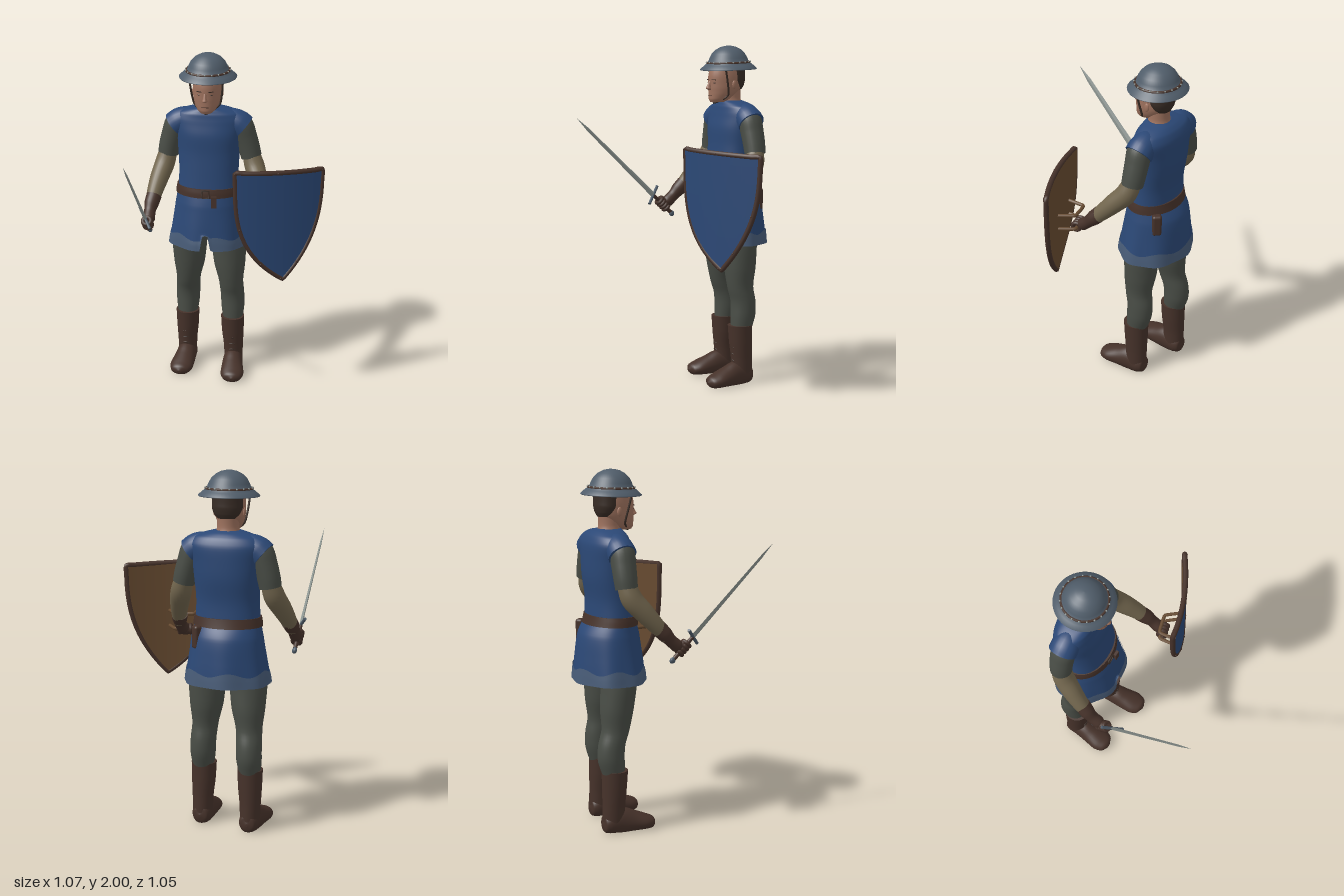
import * as THREE from 'three';
import { RoundedBoxGeometry } from 'three/addons/geometries/RoundedBoxGeometry.js';

const CX = -0.165; // body centre line
const V = (x, y, z) => new THREE.Vector3(x, y, z);

function material(name, color, double) {
  const m = new THREE.MeshStandardMaterial({ color });
  m.name = name;
  if (double) m.side = THREE.DoubleSide;
  return m;
}

// Smooth skin through elliptical sections [x, y, z, radiusA, radiusB].
// flat keeps sections horizontal; e < 1 squares them; warp(v, angle) moves vertices.
function loft(rows, { n = 24, m = 32, flat = true, e = 1, caps = true, warp } = {}) {
  const path = new THREE.CatmullRomCurve3(rows.map(r => V(r[0], r[1], r[2])));
  const radii = new THREE.CatmullRomCurve3(rows.map(r => V(r[3], r[4], 0)));
  const pos = [], idx = [], sq = c => Math.sign(c) * Math.abs(c) ** e;
  for (let i = 0; i <= n; i++) {
    const p = path.getPoint(i / n), r = radii.getPoint(i / n);
    const t = flat ? V(0, -1, 0) : path.getTangent(i / n);
    const u = V(1, 0, 0).addScaledVector(t, -t.x).normalize(), v = t.clone().cross(u);
    for (let j = 0; j < m; j++) {
      const a = j / m * Math.PI * 2;
      const q = p.clone().addScaledVector(u, r.x * sq(Math.cos(a))).addScaledVector(v, r.y * sq(Math.sin(a)));
      if (warp) warp(q, a);
      pos.push(q.x, q.y, q.z);
    }
  }
  for (let i = 0; i < n; i++) for (let j = 0; j < m; j++) {
    const a = i * m + j, b = i * m + (j + 1) % m;
    idx.push(a, b, a + m, b, b + m, a + m);
  }
  if (caps) for (const i of [0, n]) {
    const c = path.getPoint(i / n), s = pos.length / 3;
    pos.push(c.x, c.y, c.z, ...pos.slice(i * m * 3, (i + 1) * m * 3));
    for (let j = 0; j < m; j++) {
      const a = s + 1 + j, b = s + 1 + (j + 1) % m;
      idx.push(s, ...(i ? [a, b] : [b, a]));
    }
  }
  const g = new THREE.BufferGeometry();
  g.setAttribute('position', new THREE.Float32BufferAttribute(pos, 3));
  g.setIndex(idx);
  g.computeVertexNormals();
  return g;
}

const cord = (pts, r, closed = false, n = 32) =>
  new THREE.TubeGeometry(new THREE.CatmullRomCurve3(pts, closed, 'catmullrom', 0.3), n, r, 8, closed);

// Shield outline: u across, w up, and its bowed depth
const shieldZ = x => { const t = x - 0.035; return 0.106 - 0.127 * t - 0.588 * t * t; };
function shieldPoint(u, w, dz) {
  const v = w * w;
  const l = 0.312 - 0.265 * (1 - (1 - v) ** 3.5), r = 0.312 + 0.206 * (1 - (1 - v) ** 2.7);
  const x = l + (r - l) * u;
  return V(x, 0.765 + v * (0.66 - 0.02 * u), shieldZ(x) + dz);
}

export function createModel() {
  const root = new THREE.Group();
  root.name = 'footSoldier';
  const skin = material('skin', 0x9e725e), hair = material('dark hair', 0x382c25);
  const blue = material('blue cloth', 0x2b4876, true), hemMat = material('faded hem', 0x485c78, true);
  const leather = material('brown leather', 0x46322a), wood = material('shield wood', 0x664a30, true);
  const iron = material('helmet iron', 0x505d6a), steel = material('blade steel', 0x8c9490);
  const wool = material('grey wool', 0x494d46), padding = material('tan padding', 0x72664e);
  const add = (name, geo, mat, parent = root) => {
    const mesh = new THREE.Mesh(geo, mat);
    mesh.name = name;
    parent.add(mesh);
    return mesh;
  };
  const ball = (name, p, s, mat, parent) => {
    const b = add(name, new THREE.SphereGeometry(1, 16, 12), mat, parent);
    b.position.copy(p); b.scale.copy(s);
    return b;
  };
  const box = (name, p, s, mat) => {
    const b = add(name, new THREE.BoxGeometry(...s), mat);
    b.position.copy(p);
    return b;
  };
  // rows on the centre line: [y, z, rx, rz]
  const centred = rows => rows.map(([y, z, a, b]) => [CX, y, z, a, b]);

  // Tunic, with a slit at the front of the skirt
  add('tunicBody', loft(centred([[1.68, -0.32, 0.07, 0.062], [1.667, -0.33, 0.125, 0.078], [1.645, -0.338, 0.185, 0.095],
    [1.6, -0.343, 0.212, 0.11], [1.52, -0.336, 0.197, 0.121], [1.42, -0.333, 0.183, 0.122],
    [1.3, -0.32, 0.176, 0.12], [1.18, -0.315, 0.182, 0.127]]), { n: 36, m: 48, e: 0.9 }), blue);
  const slit = (q, a) => {
    const k = Math.max(0, Math.min(1, (1.15 - q.y) / 0.3)), f = 1 + 0.025 * k * Math.sin(7 * a + 1);
    q.x = CX + (q.x - CX) * f;
    q.z = -0.325 + (q.z + 0.325) * f;
    if (q.z > -0.3) q.y = Math.max(q.y, 0.84 + 0.1 * Math.min(1, Math.max(0, 1.8 - Math.abs(q.x - CX) / 0.018)));
  };
  add('tunicSkirt', loft(centred([[1.19, -0.315, 0.182, 0.127], [1.1, -0.327, 0.2, 0.163], [0.97, -0.327, 0.22, 0.181],
    [0.845, -0.325, 0.24, 0.193]]), { m: 96, caps: false, warp: slit }), blue);
  add('tunicHem', loft(centred([[0.912, -0.326, 0.234, 0.191], [0.88, -0.325, 0.239, 0.195], [0.838, -0.325, 0.244, 0.198]]),
    { n: 8, m: 96, caps: false, warp: (q, a) => {
      if (q.y > 0.85) q.y += 0.014 * Math.sin(6 * a) * (q.y - 0.85) / 0.065;
      slit(q, a);
    } }), hemMat);

  // Belt, buckle, loose end and pouch
  add('belt', loft(centred([[1.21, -0.315, 0.188, 0.135], [1.185, -0.315, 0.193, 0.14], [1.158, -0.317, 0.196, 0.144]]),
    { n: 6, m: 48 }), leather);
  const buckle = add('buckle', new THREE.TorusGeometry(0.03, 0.005, 6, 4).rotateZ(Math.PI / 4), hair);
  buckle.position.set(CX, 1.185, -0.172);
  box('beltEnd', V(-0.115, 1.14, -0.168), [0.032, 0.07, 0.016], leather);
  const pouch = add('pouch', new RoundedBoxGeometry(0.055, 0.13, 0.045, 3, 0.015), leather);
  pouch.position.set(-0.022, 1.1, -0.43);
  pouch.rotation.y = Math.PI * 0.75;

  // Head, neck, hair and face
  add('neck', loft(centred([[1.78, -0.318, 0.06, 0.062], [1.7, -0.317, 0.06, 0.061], [1.65, -0.325, 0.072, 0.066]])), skin);
  add('head', loft(centred([[1.89, -0.29, 0.078, 0.095], [1.82, -0.288, 0.085, 0.111], [1.76, -0.28, 0.082, 0.104],
    [1.72, -0.265, 0.072, 0.088], [1.69, -0.247, 0.056, 0.07], [1.672, -0.228, 0.036, 0.042]])), skin);
  add('hair', loft(centred([[1.88, -0.332, 0.084, 0.07], [1.81, -0.334, 0.085, 0.069], [1.77, -0.342, 0.072, 0.054],
    [1.745, -0.346, 0.05, 0.038]])), hair);
  add('nose', loft(centred([[1.795, -0.183, 0.008, 0.01], [1.765, -0.175, 0.011, 0.018], [1.752, -0.172, 0.016, 0.02],
    [1.744, -0.179, 0.011, 0.01]]), { n: 10, m: 16 }), skin);
  box('mouth', V(CX, 1.712, -0.18), [0.038, 0.004, 0.006], leather);
  for (const s of [-1, 1]) {
    ball('ear', V(CX + s * 0.084, 1.775, -0.295), V(0.008, 0.025, 0.015), skin);
    ball('eye', V(CX + s * 0.033, 1.784, -0.189), V(0.01, 0.004, 0.005), hair);
    box('brow', V(CX + s * 0.034, 1.803, -0.185), [0.03, 0.004, 0.006], hair).rotation.y = s * 0.35;
  }
  add('chinStrap', cord([[-0.098, 1.88, -0.225], [-0.09, 1.79, -0.245], [-0.073, 1.71, -0.258], [0, 1.667, -0.205],
    [0.073, 1.71, -0.258], [0.09, 1.79, -0.245], [0.098, 1.88, -0.225]].map(p => V(CX + p[0], p[1], p[2])), 0.006), hair);

  // Broad-brimmed helmet with riveted band
  const helmet = new THREE.Group();
  helmet.name = 'helmet';
  helmet.position.set(CX, 1.9, -0.304);
  helmet.rotation.x = 0.03;
  root.add(helmet);
  const profile = [[0, 0], [0.1, -0.006], [0.165, -0.04], [0.168, -0.035], [0.145, -0.014], [0.121, 0.004],
    [0.112, 0.028], [0.098, 0.054], [0.075, 0.077], [0.045, 0.093], [0.018, 0.099], [0, 0.1]];
  add('helmetShell', new THREE.LatheGeometry(profile.map(p => new THREE.Vector2(...p)), 48), iron, helmet);
  add('helmetBand', new THREE.TorusGeometry(0.123, 0.008, 8, 48).rotateX(Math.PI / 2), leather, helmet);
  for (let i = 0; i < 20; i++) {
    const a = i / 20 * Math.PI * 2;
    ball('rivet', V(Math.cos(a) * 0.129, 0.005, Math.sin(a) * 0.129), V(0.005, 0.005, 0.005), steel, helmet);
  }

  for (const s of [-1, 1]) {
    const side = s < 0 ? 'right' : 'left';
    // Arms: tunic shoulder, sleeve, padded forearm, glove (the shield arm swings a little wider)
    const arm = rows => rows.map(([d, y, z, r]) =>
      [CX + s * d + (s > 0 ? 0.03 * Math.max(0, Math.min(1, (1.45 - y) / 0.35)) : 0), y, z, r, r]);
    const limb = (name, rows, mat) => add(side + name, loft(arm(rows), { flat: false, m: 24 }), mat);
    limb('TunicShoulder', [[0.08, 1.61, -0.338, 0.055], [0.14, 1.594, -0.338, 0.073], [0.175, 1.577, -0.338, 0.078],
      [0.204, 1.553, -0.338, 0.079]], blue);
    limb('Sleeve', [[0.15, 1.6, -0.335, 0.055], [0.188, 1.57, -0.335, 0.07], [0.215, 1.5, -0.337, 0.067],
      [0.235, 1.43, -0.337, 0.064], [0.244, 1.38, -0.335, 0.061]], wool);
    limb('Forearm', [[0.243, 1.4, -0.335, 0.052], [0.262, 1.325, -0.312, 0.059], [0.285, 1.255, -0.255, 0.055],
      [0.305, 1.18, -0.19, 0.046], [0.318, 1.11, -0.13, 0.036]], padding);
    limb('Glove', [[0.306, 1.165, -0.175, 0.045], [0.315, 1.13, -0.143, 0.043], [0.32, 1.09, -0.105, 0.034],
      [0.32, 1.06, -0.07, 0.036], [0.32, 1.04, -0.045, 0.02]], leather);
    const hand = new THREE.Group();
    hand.name = side + 'Hand';
    hand.position.set(s < 0 ? -0.487 : 0.183, 1.045, -0.035);
    hand.quaternion.setFromUnitVectors(V(0, 1, 0), s < 0 ? V(0, 0.69, 0.72).normalize() : V(0.96, 0, -0.26).normalize());
    root.add(hand);
    ball('palm', V(0, 0, -0.018), V(0.027, 0.042, 0.02), leather, hand);
    for (let i = 0; i < 4; i++)
      add('finger', new THREE.TorusGeometry(0.023, 0.0115, 8, 16).rotateX(Math.PI / 2), leather, hand).position.y = -0.032 + i * 0.021;

    // Legs and boots, right leg set back
    const legX = x => CX + s * (x - CX);
    const back = y => s < 0 ? -0.058 * Math.max(0, Math.min(1, (0.9 - y) / 0.45)) : 0;
    const leg = rows => rows.map(([x, y, z, a, b]) => [legX(x), y, z + back(y), a, b]);
    add(side + 'Leg', loft(leg([[-0.06, 1.02, -0.315, 0.1, 0.11], [-0.046, 0.85, -0.315, 0.106, 0.1], [-0.04, 0.7, -0.312, 0.094, 0.094],
      [-0.031, 0.58, -0.31, 0.073, 0.079], [-0.025, 0.5, -0.325, 0.072, 0.076], [-0.022, 0.42, -0.325, 0.071, 0.076],
      [-0.02, 0.32, -0.31, 0.058, 0.062]])), wool);
    add(side + 'BootShaft', loft(leg([[-0.021, 0.352, -0.303, 0.071, 0.074], [-0.02, 0.25, -0.307, 0.067, 0.07],
      [-0.017, 0.15, -0.312, 0.059, 0.065], [-0.017, 0.04, -0.315, 0.055, 0.064]])), leather);
    add(side + 'BootFoot', loft(leg([[-0.018, 0.045, -0.381, 0.006, 0.008], [-0.018, 0.045, -0.372, 0.04, 0.045],
      [-0.018, 0.048, -0.345, 0.054, 0.062], [-0.016, 0.055, -0.28, 0.059, 0.08], [-0.01, 0.045, -0.2, 0.066, 0.062],
      [-0.003, 0.035, -0.135, 0.07, 0.046], [0.002, 0.028, -0.09, 0.053, 0.034], [0.003, 0.024, -0.07, 0.012, 0.012]]),
      { flat: false, n: 32, warp: q => { q.y = Math.max(0, q.y); } }), leather);
    for (let i = 0; i < 5; i++) {
      const y = 0.14 + i * 0.04, z = -0.246 + i * 0.002 + back(y);
      add('bootLace', cord([V(legX(-0.035), y, z - 0.004), V(legX(-0.017), y + 0.004, z), V(legX(0.001), y, z - 0.004)], 0.003, false, 8), hair);
    }
  }

  // Sword held point up and forward
  const sword = new THREE.Group();
  sword.name = 'sword';
  const dir = V(-0.013, 0.694, 0.72).normalize();
  const flatDir = V(0.48, -0.62, 0.6).cross(dir).normalize();
  sword.quaternion.setFromRotationMatrix(new THREE.Matrix4().makeBasis(dir.clone().cross(flatDir), dir, flatDir));
  sword.position.set(-0.487, 1.04, -0.035);
  root.add(sword);
  const blade = (name, r1, r0, y0, y1) => {
    const g = new THREE.CylinderGeometry(r1, r0, y1 - y0, 4).scale(1, 1, 0.42).translate(0, (y0 + y1) / 2, 0).toNonIndexed();
    g.computeVertexNormals();
    add(name, g, steel, sword);
  };
  blade('blade', 0.013, 0.021, 0.09, 0.68);
  blade('bladeTip', 0.0005, 0.013, 0.68, 0.778);
  add('crossGuard', new THREE.CylinderGeometry(0.009, 0.009, 0.15, 10).rotateZ(Math.PI / 2), iron, sword).position.y = 0.088;
  add('grip', new THREE.CylinderGeometry(0.011, 0.012, 0.17, 12), leather, sword);
  ball('pommel', V(0, -0.085, 0), V(0.019, 0.019, 0.014), iron, sword);

  // Shield: bowed face, wooden back, bound rim, rivets and grips
  for (const [name, dz, mat] of [['shieldFace', 0.011, blue], ['shieldBack', -0.014, wood]]) {
    const g = new THREE.PlaneGeometry(1, 1, 16, 24), p = g.attributes.position;
    for (let i = 0; i < p.count; i++) {
      const q = shieldPoint(p.getX(i) + 0.5, Math.max(0.02, p.getY(i) + 0.5), dz);
      p.setXYZ(i, q.x, q.y, q.z);
    }
    g.computeVertexNormals();
    add(name, g, mat);
  }
  const rim = [];
  for (let i = 0; i < 20; i++) rim.push(shieldPoint(1, i / 20, 0));
  for (let i = 0; i < 12; i++) rim.push(shieldPoint(1 - i / 12, 1, 0));
  for (let i = 20; i > 0; i--) rim.push(shieldPoint(0, i / 20, 0));
  add('shieldRim', cord(rim, 0.015, true, 160), leather);
  for (let i = 2; i < rim.length; i += 6) ball('rimRivet', rim[i].clone().add(V(0, 0, 0.015)), V(0.005, 0.005, 0.004), leather);
  for (const y of [1.045, 1.135])
    add('shieldGrip', cord([V(0.14, y, 0.08), V(0.13, y, -0.02), V(0.15, y, -0.035), V(0.22, y, -0.052), V(0.24, y, -0.05),
      V(0.3, y, 0.025)], 0.01), wood);
  return root;
}
